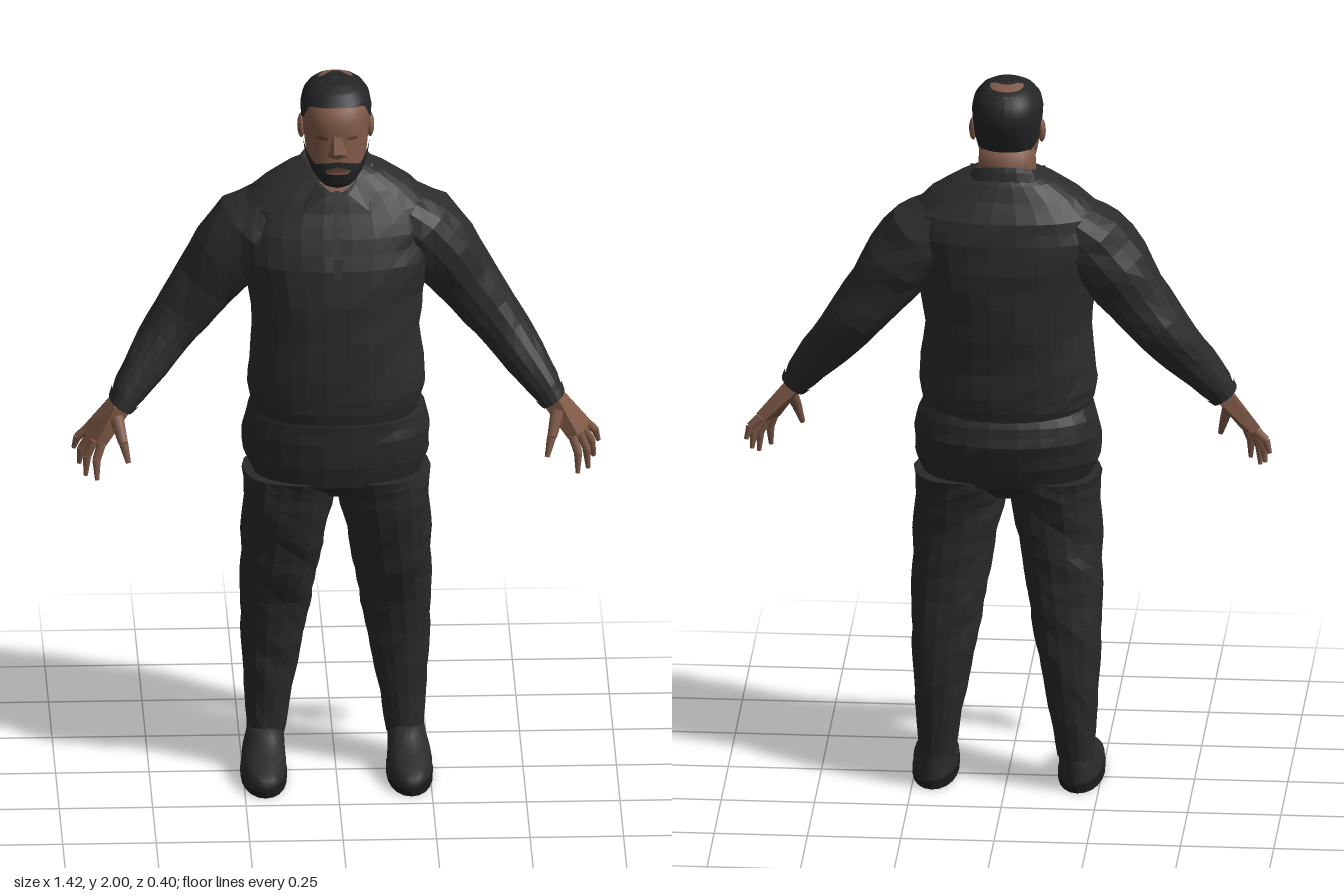
import * as THREE from 'three';
import { ConvexGeometry } from 'three/addons/geometries/ConvexGeometry.js';

const mat = (name, color, flatShading) => {
  const m = new THREE.MeshStandardMaterial({ color, flatShading });
  m.name = name;
  return m;
};

// Linear lookup in a table whose rows start with their key
function lookup(table, key) {
  let i = 1;
  while (i < table.length - 1 && table[i][0] < key) i++;
  const a = table[i - 1], b = table[i];
  const t = THREE.MathUtils.clamp((key - a[0]) / (b[0] - a[0]), 0, 1);
  return a.map((v, k) => v + (b[k] - v) * t);
}

// Point on a lofted body; rows are [y, x, z, radiusX, radiusZ, tilt, pitch]
function surfacePoint(rows, y, angle, off = 0, swell = 1, power = 2.3) {
  const [cy, cx, cz, rx, rz, tilt = 0, pitch = 0] = lookup(rows, y);
  const bend = (v) => Math.sign(v) * Math.abs(v) ** (2 / power);
  const u = bend(Math.cos(angle)) * (rx * swell + off);
  const v = bend(Math.sin(angle)) * (rz * swell + off);
  return [cx + u * Math.cos(tilt), cy + u * Math.sin(tilt) - v * Math.sin(pitch), cz + v * Math.cos(pitch)];
}

// Small repeatable cloth irregularity
const hash = (i, j) => { const s = Math.sin(i * 127.1 + j * 311.7) * 43758.5453; return s - Math.floor(s) - 0.5; };

function buildGeometry(points, index, side) {
  if (side < 0) {
    for (let i = 0; i < points.length; i += 3) points[i] *= -1;
    index.reverse();
  }
  const g = new THREE.BufferGeometry();
  g.setAttribute('position', new THREE.Float32BufferAttribute(points, 3));
  g.setIndex(index);
  g.computeVertexNormals();
  return g;
}

// Closed body through the rows, with optional wrinkles
function loft(rows, { side = 1, sides = 20, split = 2, wrinkle = 0, power = 2.3 } = {}) {
  const points = [], index = [], count = (rows.length - 1) * split;
  for (let i = 0; i <= count; i++) {
    const k = Math.min(Math.floor(i / split), rows.length - 2);
    const y = THREE.MathUtils.lerp(rows[k][0], rows[k + 1][0], i / split - k);
    for (let j = 0; j < sides; j++) {
      const a = j / sides * Math.PI * 2;
      const swell = 1 + wrinkle * (hash(i, j) + 0.4 * Math.sin(a * 3 + y * 38));
      points.push(...surfacePoint(rows, y, a, 0, swell, power));
      if (i < count) {
        const p = i * sides + j, q = i * sides + (j + 1) % sides;
        index.push(p, p + sides, q, q, p + sides, q + sides);
      }
    }
  }
  const bottom = points.length / 3, top = bottom + 1, last = count * sides;
  for (const r of [rows[0], rows[rows.length - 1]]) points.push(r[1], r[0], r[2]);
  for (let j = 0; j < sides; j++) {
    const n = (j + 1) % sides;
    index.push(bottom, j, n, top, last + n, last + j);
  }
  return buildGeometry(points, index, side);
}

// Thin skin over a body between two height curves
function patch(rows, from, to, low, high, { off = 0.004, nu = 20, nv = 4, side = 1 } = {}) {
  const points = [], index = [], w = nu + 1;
  for (let i = 0; i <= nv; i++) for (let j = 0; j <= nu; j++) {
    const a = from + (to - from) * j / nu;
    points.push(...surfacePoint(rows, THREE.MathUtils.lerp(low(a), high(a), i / nv), a, off));
    if (i < nv && j < nu) {
      const p = i * w + j;
      index.push(p, p + w, p + 1, p + 1, p + w, p + w + 1);
    }
  }
  return buildGeometry(points, index, side);
}

// Tapered rod between two points
function rod(a, b, ra, rb) {
  const A = new THREE.Vector3(...a), B = new THREE.Vector3(...b), d = B.clone().sub(A);
  const g = new THREE.CylinderGeometry(rb, ra, d.length(), 7);
  g.applyQuaternion(new THREE.Quaternion().setFromUnitVectors(new THREE.Vector3(0, 1, 0), d.normalize()));
  const c = A.add(B).multiplyScalar(0.5);
  return g.translate(c.x, c.y, c.z);
}
const hull = (pts) => new ConvexGeometry(pts.map((p) => new THREE.Vector3(...p)));

const TORSO = [
  [1.06, 0, 0.005, 0.215, 0.16], [1.09, 0, 0.005, 0.228, 0.167], [1.13, 0, 0.005, 0.238, 0.172],
  [1.2, 0, 0.005, 0.233, 0.175], [1.3, 0, -0.003, 0.223, 0.182], [1.4, 0, -0.01, 0.235, 0.185],
  [1.5, 0, -0.02, 0.26, 0.18], [1.58, 0, -0.035, 0.275, 0.16], [1.64, 0, -0.043, 0.255, 0.137],
  [1.69, 0, -0.04, 0.2, 0.11], [1.73, 0, -0.04, 0.135, 0.09], [1.75, 0, -0.04, 0.085, 0.075]];
const ARM = [
  [1.085, 0.578, 0.045, 0.034, 0.052, 0.6], [1.12, 0.555, 0.03, 0.045, 0.06, 0.6], [1.19, 0.503, 0, 0.058, 0.07, 0.6],
  [1.26, 0.45, -0.035, 0.067, 0.08, 0.6], [1.32, 0.405, -0.05, 0.075, 0.088, 0.6], [1.4, 0.345, -0.05, 0.085, 0.098, 0.6],
  [1.48, 0.29, -0.045, 0.1, 0.115, 0.6], [1.56, 0.225, -0.04, 0.1, 0.125, 0.7], [1.6, 0.17, -0.04, 0.085, 0.11, 0.8]];
const PELVIS = [
  [0.82, 0, 0, 0.11, 0.08], [0.87, 0, 0.002, 0.22, 0.143], [0.93, 0, -0.005, 0.248, 0.16],
  [1, 0, -0.01, 0.25, 0.17], [1.05, 0, -0.006, 0.24, 0.162], [1.09, 0, 0, 0.222, 0.15]];
const LEG = [
  [0.09, 0.187, -0.053, 0.051, 0.075], [0.2, 0.18, -0.06, 0.061, 0.08], [0.3, 0.174, -0.06, 0.075, 0.084],
  [0.4, 0.167, -0.057, 0.088, 0.088], [0.5, 0.159, -0.044, 0.097, 0.094], [0.6, 0.15, -0.022, 0.105, 0.108],
  [0.7, 0.14, -0.004, 0.113, 0.118], [0.8, 0.129, 0.006, 0.121, 0.132], [0.88, 0.122, 0.002, 0.126, 0.146]];
const SOLE = [[0, 0.195, 0.035, 0.062, 0.165], [0.018, 0.195, 0.035, 0.063, 0.167]];
const SHOE = [
  [0.018, 0.195, 0.035, 0.061, 0.165], [0.045, 0.195, 0.032, 0.06, 0.16], [0.065, 0.194, 0.01, 0.057, 0.138],
  [0.09, 0.19, -0.025, 0.052, 0.1], [0.13, 0.187, -0.052, 0.047, 0.07]];
const HEAD = [
  [1.72, 0, 0.045, 0.035, 0.05], [1.735, 0, 0.04, 0.056, 0.074], [1.77, 0, 0.026, 0.073, 0.095],
  [1.81, 0, 0.008, 0.082, 0.108], [1.86, 0, -0.005, 0.088, 0.116], [1.89, 0, -0.009, 0.09, 0.122],
  [1.92, 0, -0.014, 0.092, 0.121], [1.95, 0, -0.019, 0.086, 0.107], [1.975, 0, -0.022, 0.068, 0.083],
  [1.99, 0, -0.024, 0.044, 0.054], [1.997, 0, -0.025, 0.015, 0.02]];
const NECK = [[1.62, 0, -0.03, 0.085, 0.08], [1.72, 0, -0.025, 0.08, 0.083], [1.82, 0, -0.03, 0.074, 0.08]];
const COLLAR = [
  [1.7, 0, -0.035, 0.115, 0.105, 0, 0.45], [1.725, 0, -0.033, 0.102, 0.1, 0, 0.45], [1.74, 0, -0.033, 0.092, 0.094, 0, 0.45]];

// Hair and beard outlines, by angle away from the face centre
const HAIRLINE = [[0, 1.948], [0.9, 1.943], [1.2, 1.9], [1.6, 1.89], [1.9, 1.84], [2.4, 1.81], [3.2, 1.795]];
const BEARD_TOP = [[0, 1.768], [0.35, 1.77], [0.5, 1.795], [0.8, 1.79], [1.4, 1.835]];
const BEARD_LOW = [[0, 1.722], [0.6, 1.732], [1, 1.765], [1.4, 1.81]];
const FRONT = Math.PI / 2;
const curve = (table) => (a) => lookup(table, Math.abs(a - FRONT))[1];

export function createModel() {
  const model = new THREE.Group();
  const jacket = mat('jacket cloth', 0x2c2c2c, true), trousers = mat('trouser cloth', 0x292929, true);
  const leather = mat('shoe leather', 0x2b2b2b, false), rubber = mat('sole rubber', 0x1c1c1c, true);
  const skin = mat('skin', 0x805a48, false), skinFlat = skin;
  const lipTone = mat('lips and eyelids', 0x5a3d33, false), hair = mat('hair', 0x232426, false);
  const add = (name, geometry, material) => {
    const m = new THREE.Mesh(geometry, material);
    m.name = name;
    model.add(m);
    return m;
  };

  // Jacket and trousers
  add('jacketBody', loft(TORSO, { sides: 30, wrinkle: 0.02 }), jacket);
  add('hemBand', patch(TORSO, -FRONT, 3 * FRONT, () => 1.06, () => 1.085, { nu: 30, nv: 1 }), jacket);
  add('zipPlacket', patch(TORSO, FRONT - 0.025, FRONT + 0.025, () => 1.48, () => 1.7, { nu: 2, off: 0.006 }), jacket);
  add('collar', loft(COLLAR, { sides: 24, split: 1 }), jacket);
  add('pelvis', loft(PELVIS, { sides: 26, wrinkle: 0.02 }), trousers);

  for (const side of [1, -1]) {
    const label = side > 0 ? 'left' : 'right';
    const mirrored = (pts) => pts.map(([x, y, z]) => [x * side, y, z]);
    add(label + 'Sleeve', loft(ARM, { side, wrinkle: 0.05, sides: 16 }), jacket);
    add(label + 'Cuff', patch(ARM, -FRONT, 3 * FRONT, () => 1.085, () => 1.105, { side, nu: 16, nv: 1 }), jacket);
    add(label + 'CollarFlap', hull(mirrored([[0.1, 1.75, -0.01], [0.105, 1.71, 0.015], [0.085, 1.65, 0.095],
      [0.03, 1.695, 0.085], [0.05, 1.715, 0.06], [0.08, 1.65, 0.075]])), jacket);
    add(label + 'TrouserLeg', loft(LEG, { side, wrinkle: 0.05, sides: 18, split: 3 }), trousers);
    add(label + 'Shoe', loft(SHOE, { side, power: 2.1 }), leather);
    add(label + 'Sole', loft(SOLE, { side, split: 1, power: 2.1 }), rubber);

    // Hand
    const rim = [[0.555, 1.085, 0.01], [0.6, 1.1, 0.015], [0.55, 1.075, 0.07], [0.595, 1.085, 0.08]];
    const knuckles = [[0.664, 1, 0.008], [0.66, 0.99, 0.033], [0.649, 0.985, 0.058], [0.63, 0.985, 0.083]];
    const tips = [[0.702, 0.94, -0.002], [0.688, 0.905, 0.022], [0.672, 0.885, 0.06], [0.643, 0.888, 0.103]];
    const thick = knuckles.flatMap(([x, y, z]) => [[x + 0.012, y + 0.008, z + 0.003], [x - 0.012, y - 0.008, z - 0.003]]);
    add(label + 'Palm', hull(mirrored([...rim, ...thick])), skinFlat);
    knuckles.forEach((k, i) => {
      const t = tips[i];
      const mid = k.map((v, n) => (v + t[n]) / 2 + [0.008, 0.004, 0][n]);
      const [a, b, c] = mirrored([k, mid, t]);
      add(label + 'FingerBase' + (i + 1), rod(a, b, 0.0125, 0.0115), skin);
      add(label + 'FingerTip' + (i + 1), rod(b, c, 0.0115, 0.006), skin);
    });
    const [t0, t1, t2] = mirrored([[0.59, 1.055, 0.07], [0.573, 0.995, 0.108], [0.56, 0.945, 0.127]]);
    add(label + 'ThumbBase', rod(t0, t1, 0.02, 0.013), skin);
    add(label + 'ThumbTip', rod(t1, t2, 0.013, 0.007), skin);

    // Ear and closed eyelid
    const ear = add(label + 'Ear', new THREE.SphereGeometry(1, 10, 8), skin);
    ear.scale.set(0.011, 0.034, 0.02);
    ear.position.set(side * 0.092, 1.855, -0.022);
    ear.rotation.x = -0.2;
    const eye = FRONT - side * 0.42;
    add(label + 'Eyelid', patch(HEAD, eye - 0.17, eye + 0.17, () => 1.862, () => 1.87, { nu: 6, nv: 1, off: 0.002 }), lipTone);
  }

  // Head and face
  add('neck', loft(NECK), skin);
  add('openNeck', patch(TORSO, FRONT - 0.3, FRONT + 0.3, (a) => 1.69 + 0.12 * Math.abs(a - FRONT), () => 1.735, { nu: 8 }), skin);
  add('head', loft(HEAD, { sides: 28 }), skin);
  add('brow', patch(HEAD, FRONT - 0.85, FRONT + 0.85, () => 1.876, () => 1.9, { nu: 12, nv: 2, off: 0.003 }), skin);
  add('nose', hull([[-0.01, 1.88, 0.108], [0.01, 1.88, 0.108], [-0.01, 1.828, 0.131], [0.01, 1.828, 0.131],
    [-0.03, 1.815, 0.108], [0.03, 1.815, 0.108], [0, 1.812, 0.124]]), skinFlat);
  add('mouth', patch(HEAD, FRONT - 0.3, FRONT + 0.3, () => 1.774, () => 1.788, { nu: 8, nv: 1 }), lipTone);
  add('moustache', patch(HEAD, FRONT - 0.5, FRONT + 0.5, (a) => 1.79 - 0.03 * Math.abs(a - FRONT),
    (a) => 1.804 - 0.015 * Math.abs(a - FRONT), { nu: 10, nv: 1, off: 0.006 }), hair);
  add('beard', patch(HEAD, FRONT - 1.4, FRONT + 1.4, curve(BEARD_LOW), curve(BEARD_TOP), { nu: 28, nv: 5, off: 0.005 }), hair);
  add('hair', patch(HEAD, -FRONT, 3 * FRONT, curve(HAIRLINE), () => 1.997, { nu: 40, nv: 14, off: 0.003 }), hair);
  const crown = add('crown', new THREE.CircleGeometry(1, 20), hair);
  crown.scale.set(0.021, 0.026, 1);
  crown.rotation.x = -Math.PI / 2;
  crown.position.set(0, 1.9985, -0.025);
  return model;
}
